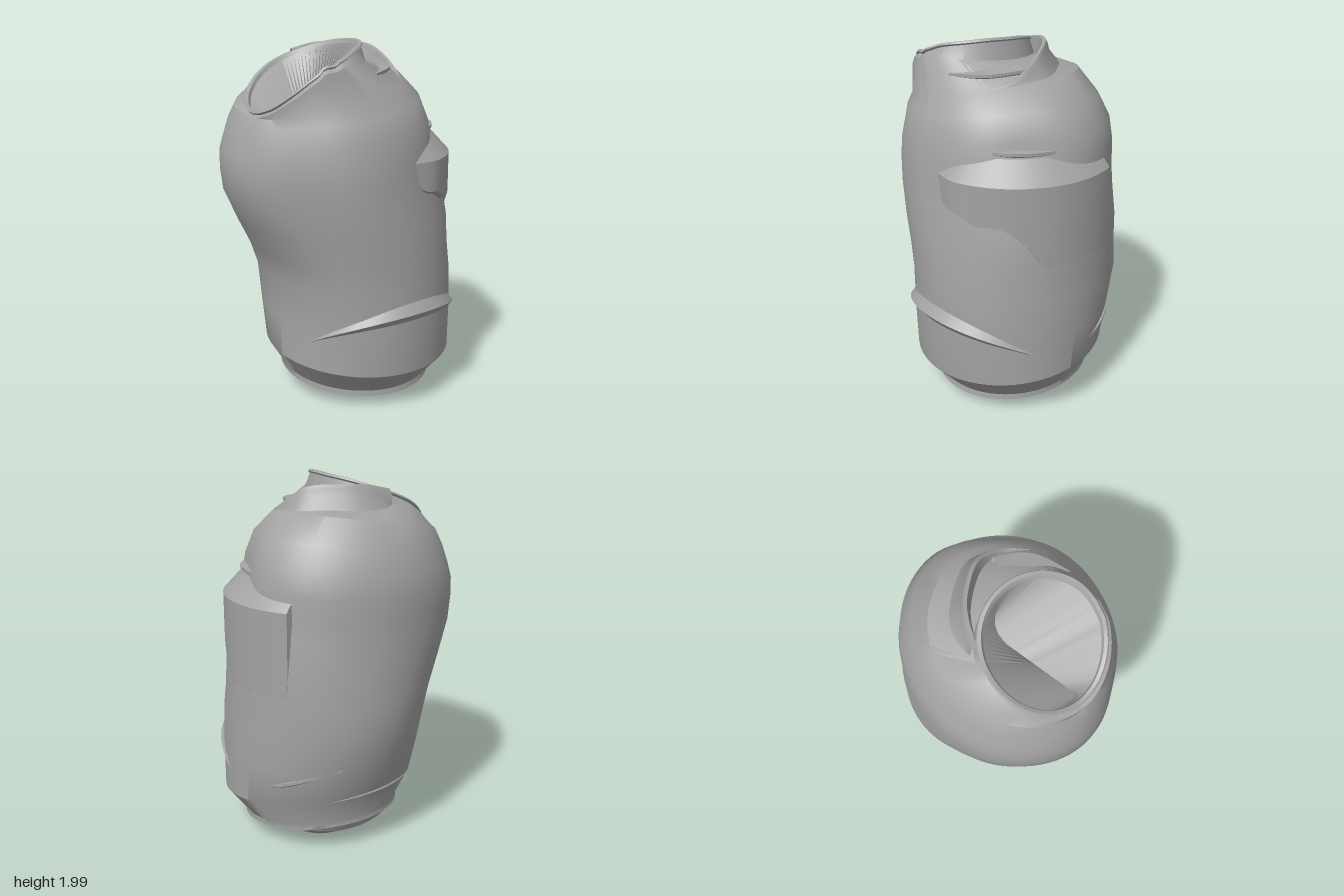
import * as THREE from 'three';
import { toCreasedNormals } from 'three/addons/utils/BufferGeometryUtils.js';

const metal = new THREE.MeshStandardMaterial({ color: 0xa3a3a3, side: THREE.DoubleSide });
metal.name = 'grey metal';

// Skin a surface over rows of [x, y, z] points that all have the same length
function skin(name, rows, crease = 0.6) {
  const w = rows[0].length;
  const index = [];
  for (let i = 0; i < rows.length - 1; i++) {
    for (let j = 0; j < w - 1; j++) {
      const a = i * w + j, b = a + 1, c = a + w, d = c + 1;
      index.push(a, b, c, b, d, c);
    }
  }
  const geo = new THREE.BufferGeometry();
  geo.setAttribute('position', new THREE.Float32BufferAttribute(rows.flat(2), 3));
  geo.setIndex(index);
  const mesh = new THREE.Mesh(toCreasedNormals(geo, crease), metal);
  mesh.name = name;
  return mesh;
}

const SIDES = 80;
const around = (point) => Array.from({ length: SIDES + 1 }, (_, i) => point((i / SIDES) * Math.PI * 2));

// Tilted elliptical ring, dented at the front corners:
// [cx, cy, cz, rx, rz, slope along x, slope along z, dent at -x, dent at +x]
function ring([cx, cy, cz, rx, rz, sx = 0, sz = 0, dentRight = 0, dentLeft = 0]) {
  return around((a) => {
    const k = 1 - dentRight * Math.exp(-(((a - 5.4) / 0.4) ** 2)) - dentLeft * Math.exp(-(((a - 1.05) / 0.42) ** 2));
    const dx = Math.sin(a) * rx * k, dz = Math.cos(a) * rz * k;
    return [cx + dx, cy + sx * dx + sz * dz, cz + dz];
  });
}

// Bent neck rim: its height at 16 equal angles, from the front towards +x
const rimHeight = new THREE.CatmullRomCurve3(
  [1.92, 1.965, 1.985, 1.995, 1.99, 1.975, 1.945, 1.905, 1.855, 1.79, 1.72, 1.67, 1.655, 1.69, 1.77, 1.86]
    .map((y, i) => new THREE.Vector3(i / 16, y, 0)), true);
const rim = (grow, drop, dropLeft = 0) => around((a) => [
  -0.24 + Math.sin(a) * (0.295 + grow),
  rimHeight.getPoint((a / (Math.PI * 2)) % 1).y - drop - dropLeft * Math.max(0, Math.sin(a)),
  Math.cos(a) * (0.305 + grow),
]);

// Straight valley line where the pinched lid folds inside the neck
const valley = () => around((a) => {
  const u = 0.28 * Math.sin(a + 0.38);
  return [-0.22 + 0.93 * u, 1.63 + 0.25 * u, -0.055 - 0.37 * u];
});

// Sweep a cross-section function along n steps, t from 0 to 1
const sweep = (name, n, section, crease) =>
  skin(name, Array.from({ length: n + 1 }, (_, i) => section(i / n)), crease);

const curve = (pts) => new THREE.CatmullRomCurve3(pts.map((p) => new THREE.Vector3(...p)));

// Thin tapering flap of metal standing out from the wall along a path
function flap(name, pts, width, drop) {
  const path = curve(pts);
  return sweep(name, 24, (t) => {
    const p = path.getPoint(t), k = Math.sin(Math.PI * t);
    const out = new THREE.Vector3(p.x, 0, p.z).normalize();
    const at = (r, dy) => [p.x + out.x * r, p.y + dy, p.z + out.z * r];
    return [at(-0.06, 0.02), at(width * k, 0.008), at(width * k, -0.008), at(-0.06, -drop)];
  }, 0.4);
}

export function createModel() {
  const model = new THREE.Group();
  model.name = 'crushedCan';

  // Dented body, from the recessed base up to the slanted neck
  model.add(skin('body', [
    ...[
      [0.115, 0.17, 0.0, 0.001, 0.001, 0, -0.118],
      [0.115, 0.18, 0.0, 0.3, 0.3, 0, -0.118],
      [0.115, 0.12, 0.005, 0.37, 0.37, 0, -0.118],
      [0.115, 0.1, 0.005, 0.4, 0.4, 0, -0.118],
      [0.115, 0.11, 0.005, 0.435, 0.43, 0, -0.118],
      [0.115, 0.14, 0.005, 0.435, 0.425, 0, -0.118],
      [0.115, 0.285, 0.03, 0.535, 0.52, 0, -0.12],
      [0.115, 0.5, 0.01, 0.535, 0.555, 0, -0.06],
      [0.115, 0.72, -0.015, 0.535, 0.575, 0, 0, -0.03],
      [0.085, 0.86, -0.02, 0.555, 0.575, 0, 0, -0.01],
      [0.045, 1.02, -0.025, 0.6, 0.575, 0, 0, 0.03],
      [-0.01, 1.2, -0.035, 0.63, 0.565, 0, 0, 0.06],
      [-0.025, 1.32, -0.04, 0.63, 0.56, 0, 0, 0.06, 0.04],
      [-0.025, 1.43, -0.045, 0.625, 0.555, 0.02, 0, 0.05, 0.09],
      [-0.025, 1.53, -0.045, 0.605, 0.535, 0.08, 0, 0.04, 0.09],
      [-0.05, 1.64, -0.04, 0.555, 0.495, 0.12, 0, 0.03, 0.06],
      [-0.1, 1.725, -0.035, 0.47, 0.435, 0.2, -0.06, 0, 0.02],
    ].map(ring),
    rim(0.03, 0.035, 0.08),
    rim(0.005, 0.02),
  ]));

  // Rolled lip and pinched lid inside the neck
  model.add(skin('neckLip', [
    rim(0.005, 0.02), rim(0.015, 0.01), rim(0.008, 0), rim(-0.01, 0.002), rim(-0.02, 0.025),
  ]));
  model.add(skin('pinchedLid', [rim(-0.02, 0.025), valley()]));

  // Second fold of the rim, standing to the left of the neck
  const fold = curve([[0.22, 1.78, 0.25], [0.28, 1.82, 0.14], [0.29, 1.88, 0.04], [0.255, 1.935, -0.06],
    [0.13, 1.945, -0.2], [0.03, 1.94, -0.26], [-0.1, 1.91, -0.3]]);
  model.add(sweep('rimFold', 36, (t) => {
    const p = fold.getPoint(t), k = Math.min(1, t * 4, (1 - t) * 4);
    const out = new THREE.Vector3(p.x + 0.15, 0, p.z).normalize();
    const at = (r, dy) => [p.x + out.x * r, p.y + dy, p.z + out.z * r];
    return [at(0.02 + 0.1 * k, -0.07 - 0.1 * k), at(0.02, -0.045), at(0.012, -0.01), at(0, 0.012),
      at(-0.02, 0.008), at(-0.025, -0.03), at(-0.04, -0.14)];
  }));

  // Bulging panel pushed out of the left wall, with a ragged lower edge
  model.add(sweep('sidePanel', 40, (t) => {
    const a = THREE.MathUtils.lerp(-0.05, 2.04, t);
    const low = 1.25 - 0.1 * THREE.MathUtils.smoothstep(t, 0, 0.35)
      - 0.22 * THREE.MathUtils.smoothstep(t, 0.4, 0.63) + 0.008 * Math.sin(t * 40);
    const at = (r, y) => [0.09 + Math.sin(a) * r, y, -0.02 + Math.cos(a) * r];
    const r = t === 1 ? 0.49 : 0.515 + 0.042 * THREE.MathUtils.smoothstep(t, 0, 0.2);
    return [at(0.45, 1.49), at(r, 1.375), at(r, low), at(0.49, low - 0.035)];
  }, 0.4));

  // Sharp crease running round the front of the lower wall
  model.add(sweep('frontCrease', 40, (t) => {
    const s = t * 2 - 1, a = s * 1.35, k = 1 - s * s;
    const at = (r, y) => [0.115 + Math.sin(a) * r * 0.96, y, 0.01 + Math.cos(a) * r];
    const y = 0.36 + 0.22 * k;
    return [at(0.535, y + 0.08 * k), at(0.55 + 0.04 * k, y), at(0.535, y - 0.07 * k)];
  }, 0.3));

  // Crumpled ridge round the back of the base
  model.add(sweep('backRidge', 32, (t) => {
    const s = t * 2 - 1, a = Math.PI + s * 1.2, k = 1 - s * s;
    const at = (r, y) => [0.115 + Math.sin(a) * r, y, 0.03 + Math.cos(a) * r];
    const y = 0.28 + 0.075 * k;
    return [at(0.5, y + 0.05), at(0.515 + 0.015 * k, y), at(0.47, y - 0.05)];
  }, 0.3));

  // Folded wedge of the base that hangs below the bottom rim
  model.add(sweep('baseFold', 32, (t) => {
    const s = t * 2 - 1, k = 1 - s * s, q = Math.sqrt(k), x = 0.115 + 0.36 * s;
    return [[x, 0.13, 0.02], [x, 0.12 - 0.115 * k, -0.19], [x, 0.12 - 0.115 * k, -0.21],
      [x, 0.14 - 0.05 * k, -0.21 - 0.15 * q], [x, 0.16, -0.21 - 0.18 * q]];
  }, 0.4));

  // Thin torn flaps on the shoulder and a crumple low on the left
  model.add(flap('shoulderFlap', [[0.3, 1.51, 0.38], [0.45, 1.515, 0.23], [0.55, 1.51, 0.03]], 0.025, 0.05));
  model.add(flap('upperFlap', [[-0.01, 1.83, 0.33], [0.16, 1.845, 0.21], [0.26, 1.86, 0.05]], 0.02, 0.05));
  model.add(flap('lowerCrumple', [[0.645, 0.37, 0.0], [0.585, 0.45, -0.24], [0.42, 0.53, -0.45]], 0.012, 0.06));

  return model;
}
